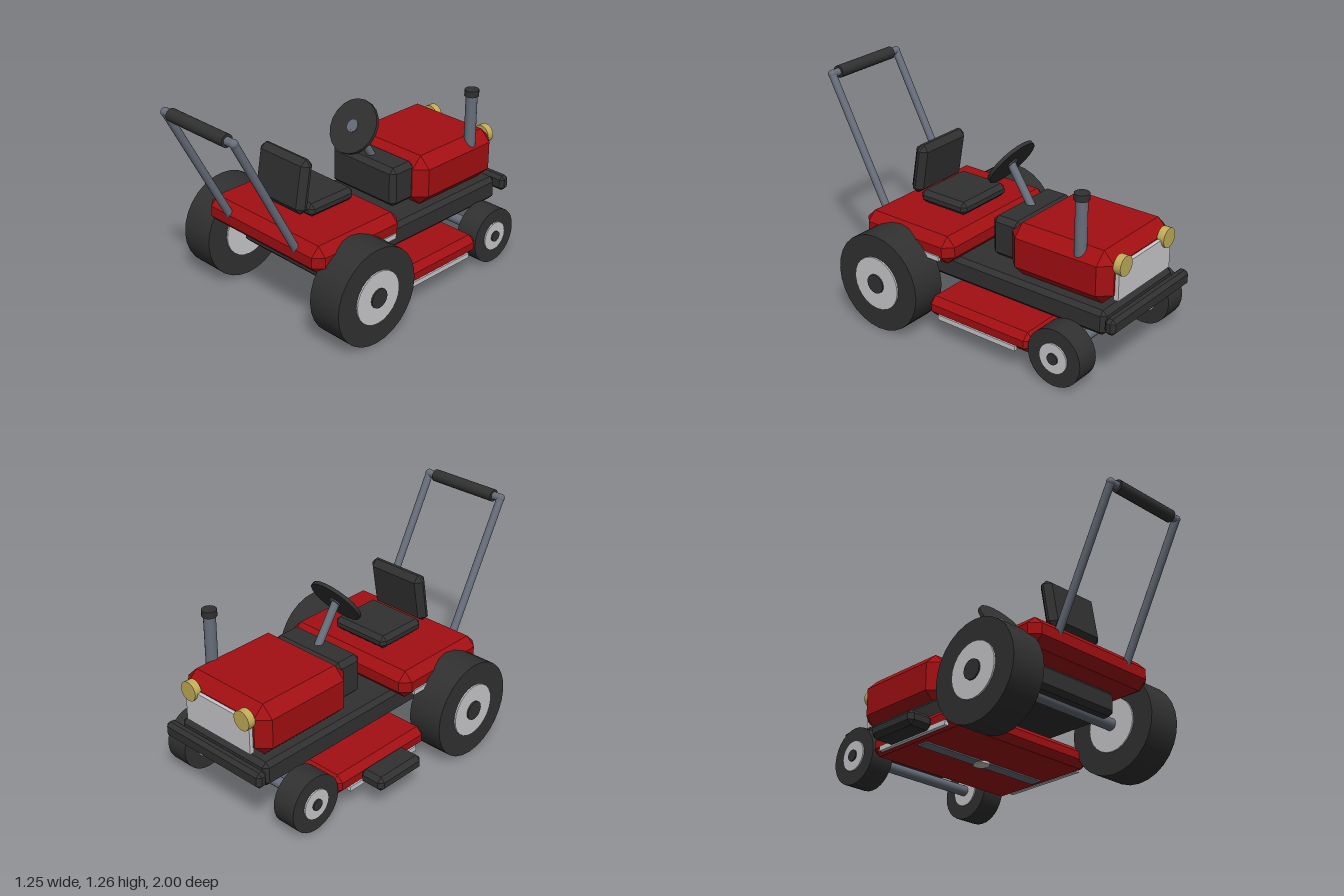
import * as THREE from 'three';
import { ConvexGeometry } from 'three/addons/geometries/ConvexGeometry.js';

const paint = (name, color) => {
  const m = new THREE.MeshStandardMaterial({ color });
  m.name = name;
  return m;
};

export function createModel() {
  const red = paint('red paint', 0xa30f12);
  const dark = paint('dark rubber', 0x313131);
  const steel = paint('slate steel', 0x676e7a);
  const light = paint('light metal', 0xcacace);
  const lamp = paint('lamp yellow', 0xc2ad58);

  const model = new THREE.Group();
  model.name = 'rideOnMower';

  const add = (name, geometry, material, parent = model) => {
    const mesh = new THREE.Mesh(geometry, material);
    mesh.name = name;
    parent.add(mesh);
    return mesh;
  };

  // Box given by its limits, with every edge chamfered by c
  const block = (name, [x0, x1], [y0, y1], [z0, z1], c, material) => {
    const w = (x1 - x0) / 2, h = (y1 - y0) / 2, d = (z1 - z0) / 2;
    const pts = [];
    for (const sx of [-1, 1]) for (const sy of [-1, 1]) for (const sz of [-1, 1]) {
      pts.push(new THREE.Vector3(sx * w, sy * (h - c), sz * (d - c)));
      pts.push(new THREE.Vector3(sx * (w - c), sy * h, sz * (d - c)));
      pts.push(new THREE.Vector3(sx * (w - c), sy * (h - c), sz * d));
    }
    const geometry = c > 0 ? new ConvexGeometry(pts) : new THREE.BoxGeometry(2 * w, 2 * h, 2 * d);
    const mesh = add(name, geometry, material);
    mesh.position.set((x0 + x1) / 2, (y0 + y1) / 2, (z0 + z1) / 2);
    return mesh;
  };

  // Cylinder running from point a to point b
  const up = new THREE.Vector3(0, 1, 0);
  const rod = (name, a, b, r, material, sides = 16, parent = model) => {
    const from = new THREE.Vector3(...a), to = new THREE.Vector3(...b);
    const dir = to.clone().sub(from);
    const mesh = add(name, new THREE.CylinderGeometry(r, r, dir.length(), sides), material, parent);
    mesh.position.copy(from).add(to).multiplyScalar(0.5);
    mesh.quaternion.setFromUnitVectors(up, dir.normalize());
    return mesh;
  };

  // Chassis, bumper and bodywork
  block('chassis', [-0.32, 0.32], [0.275, 0.415], [-0.92, 0.45], 0.025, dark);
  block('bumper', [-0.355, 0.355], [0.32, 0.41], [-1, -0.935], 0.02, dark);
  block('hood', [-0.31, 0.31], [0.42, 0.715], [-0.92, -0.285], 0.065, red);
  block('dashboard', [-0.24, 0.24], [0.46, 0.69], [-0.32, -0.14], 0.028, dark);
  block('rearBody', [-0.44, 0.44], [0.41, 0.57], [-0.015, 0.605], 0.05, red);
  block('grille', [-0.235, 0.235], [0.455, 0.645], [-0.942, -0.915], 0, light);

  // Seat with a tilted back
  block('seatCushion', [-0.185, 0.185], [0.585, 0.66], [0.09, 0.41], 0.025, dark);
  block('seatBack', [-0.185, 0.185], [0.62, 0.92], [0.39, 0.47], 0.033, dark).rotation.x = -0.17;

  // Cutting deck, chute and blade
  block('cuttingDeck', [-0.485, 0.485], [0.115, 0.23], [-0.58, 0.11], 0.036, red);
  block('dischargeChute', [-0.63, -0.475], [0.125, 0.21], [-0.41, -0.085], 0.025, dark);
  block('blade', [-0.42, 0.42], [0.108, 0.118], [-0.27, -0.2], 0, steel);
  rod('bladeSpindle', [0, 0.102, -0.235], [0, 0.13, -0.235], 0.045, light);

  // Steering column, wheel disc and hub
  rod('steeringColumn', [0, 0.62, -0.26], [0, 0.9, -0.075], 0.023, steel);
  const steer = new THREE.Vector3(0, 0.895, -0.082);
  const axis = new THREE.Vector3(0, 0.573, 0.82);
  const along = (t) => steer.clone().addScaledVector(axis, t).toArray();
  rod('steeringWheel', along(-0.01), along(0.01), 0.155, dark, 20);
  rod('steeringHub', along(-0.015), along(0.015), 0.035, steel);

  // Exhaust stack
  rod('exhaustPipe', [0.268, 0.64, -0.73], [0.268, 0.97, -0.73], 0.033, steel);
  rod('exhaustCap', [0.268, 0.963, -0.73], [0.268, 1.0, -0.73], 0.041, dark);

  // Axles
  rod('rearAxle', [-0.42, 0.28, 0.35], [0.42, 0.28, 0.35], 0.035, steel);
  rod('frontAxle', [-0.36, 0.165, -0.73], [0.36, 0.165, -0.73], 0.03, steel);

  // Wheel: tyre, rim disc standing slightly proud on both sides, outer hub cap
  const wheel = (name, side, y, z, inner, outer, [tyreR, rimR, hubR], [rimOut, hubOut]) => {
    const group = new THREE.Group();
    group.name = name;
    model.add(group);
    const part = (label, a, b, r, material, sides) =>
      rod(label, [side * a, y, z], [side * b, y, z], r, material, sides, group);
    part('tyre', inner, outer, tyreR, dark, 28);
    part('rim', inner - rimOut, outer + rimOut, rimR, light, 24);
    part('hub', outer - 0.02, outer + hubOut, hubR, dark, 16);
  };

  // Mirrored parts
  for (const s of [-1, 1]) {
    const label = s > 0 ? 'Left' : 'Right';
    wheel('rearWheel' + label, s, 0.278, 0.35, 0.4, 0.605, [0.277, 0.152, 0.055], [0.009, 0.018]);
    wheel('frontWheel' + label, s, 0.163, -0.73, 0.34, 0.477, [0.162, 0.085, 0.032], [0.008, 0.016]);

    rod('headlight' + label, [s * 0.197, 0.643, -0.915], [s * 0.197, 0.643, -0.957], 0.055, lamp, 20);

    const xs = (a, b) => (s > 0 ? [a, b] : [-b, -a]);
    block('bodyTrim' + label, xs(0.43, 0.448), [0.44, 0.468], [0.05, 0.55], 0, light);
    block('deckTrim' + label, xs(0.47, 0.494), [0.122, 0.15], [-0.495, 0.02], 0, light);

    rod('handleUpright' + label, [s * 0.257, 0.51, 0.585], [s * 0.257, 1.225, 0.965], 0.022, steel);
    const joint = add('handleJoint' + label, new THREE.SphereGeometry(0.024, 14, 10), steel);
    joint.position.set(s * 0.257, 1.225, 0.965);
  }

  // Push bar and its grip
  rod('handleBar', [-0.257, 1.225, 0.965], [0.257, 1.225, 0.965], 0.022, steel);
  rod('handleGrip', [-0.21, 1.225, 0.965], [0.21, 1.225, 0.965], 0.035, dark);

  return model;
}
